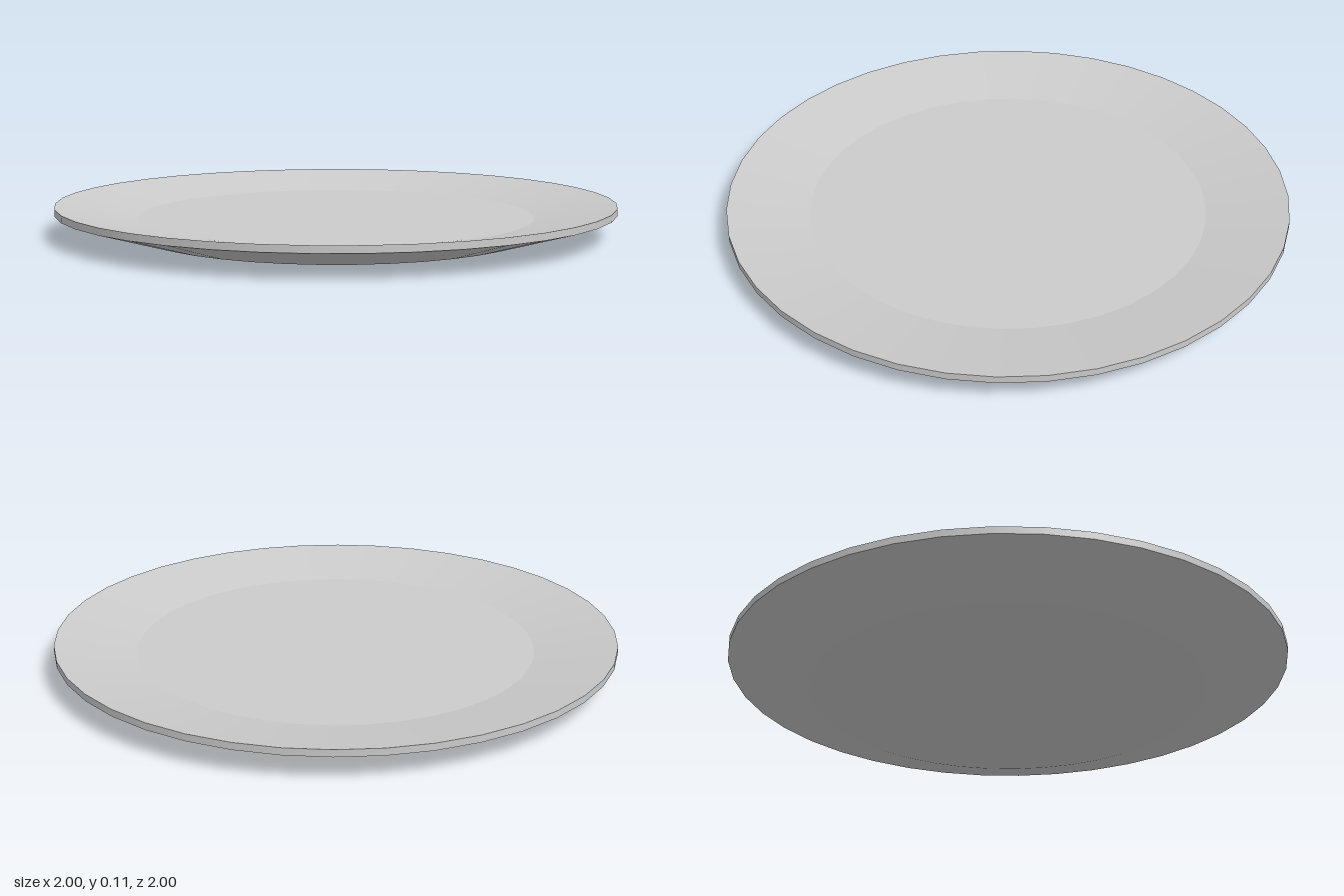
import * as THREE from 'three';

const SEGMENTS = 40;

// Profile of the plate as [radius, height], from the underside round to the floor
const PROFILE = [[0, 0], [0.71, 0], [1, 0.085], [1, 0.11], [0.71, 0.058], [0, 0.058]];
const BANDS = ['underside', 'outerSlope', 'rimEdge', 'innerSlope', 'floor'];

export function createModel() {
  const plate = new THREE.Group();
  plate.name = 'plate';
  const material = new THREE.MeshStandardMaterial({ color: 0xcccccc });

  // One lathe per band: smooth around the plate, sharp between bands
  BANDS.forEach((name, i) => {
    const points = [PROFILE[i], PROFILE[i + 1]].map(([r, y]) => new THREE.Vector2(r, y));
    const band = new THREE.Mesh(new THREE.LatheGeometry(points, SEGMENTS), material);
    band.name = name;
    plate.add(band);
  });

  return plate;
}
